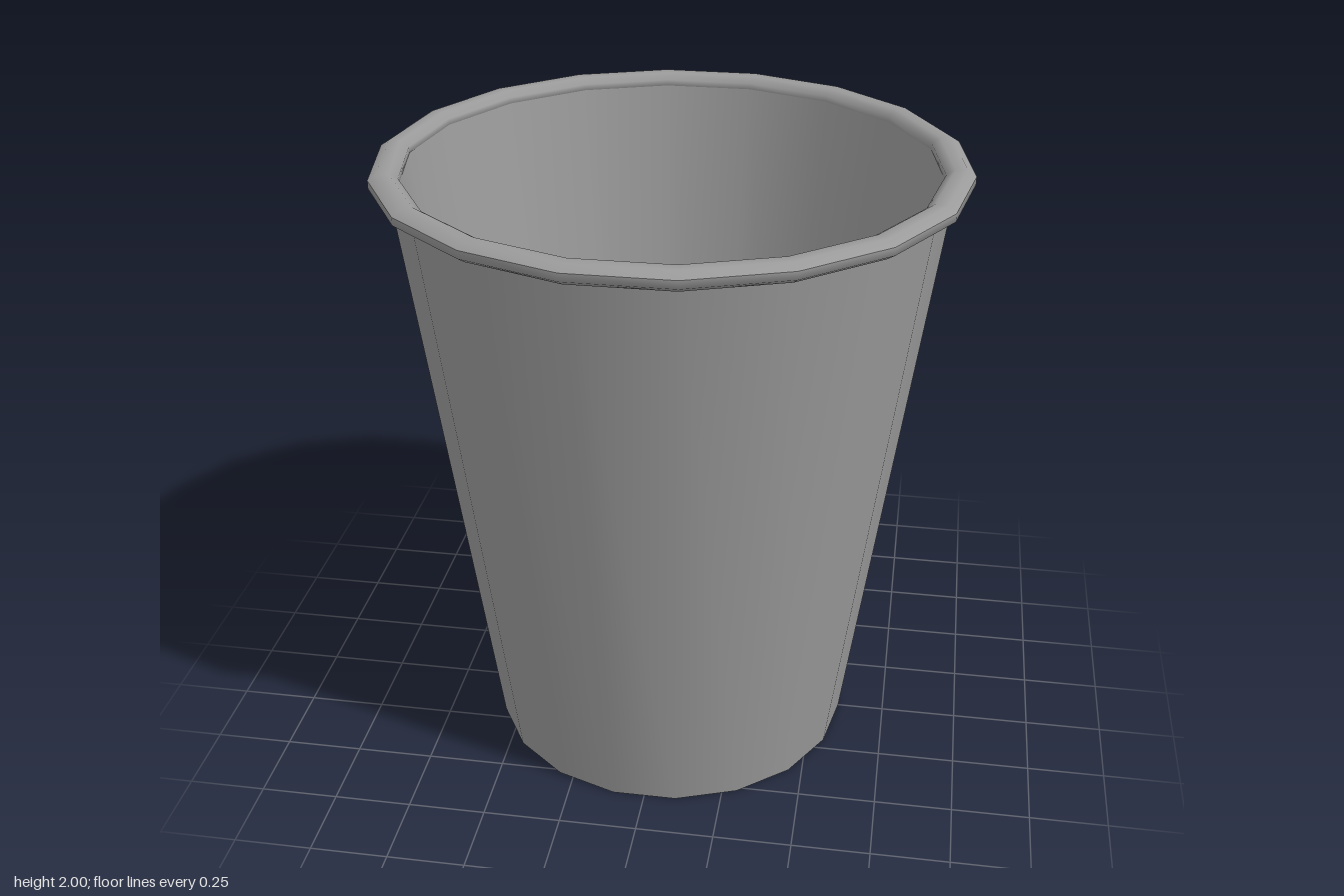
import * as THREE from 'three';

const SIDES = 18;

export function createModel() {
  const group = new THREE.Group();
  const material = new THREE.MeshStandardMaterial({ color: 0x9b9b9b });

  // Revolves [radius, height] pairs, with a corner of the polygon on the x axis
  const addLathe = (name, profile) => {
    const points = profile.map(([r, y]) => new THREE.Vector2(r, y));
    const mesh = new THREE.Mesh(new THREE.LatheGeometry(points, SIDES, Math.PI / 2), material);
    mesh.name = name;
    group.add(mesh);
  };

  // Tapered wall: outside runs upward, inside runs downward
  addLathe('outerWall', [[0.595, 0], [0.86, 1.97]]);
  addLathe('innerWall', [[0.825, 1.97], [0.558, 0.02]]);

  // Closed base: underside, and inside floor let into the wall
  addLathe('underside', [[0, 0], [0.595, 0]]);
  addLathe('floor', [[0.575, 0.02], [0, 0.02]]);

  // Rolled rim with a flattened eight-sided section, flat on top and at the sides
  const rim = [];
  const reach = 1 / Math.cos(Math.PI / 8);
  for (let i = 0; i <= 8; i++) {
    const a = ((i + 0.5) / 8) * Math.PI * 2;
    rim.push([0.869 + 0.045 * reach * Math.cos(a), 1.97 + 0.03 * reach * Math.sin(a)]);
  }
  addLathe('rolledRim', rim);

  return group;
}
